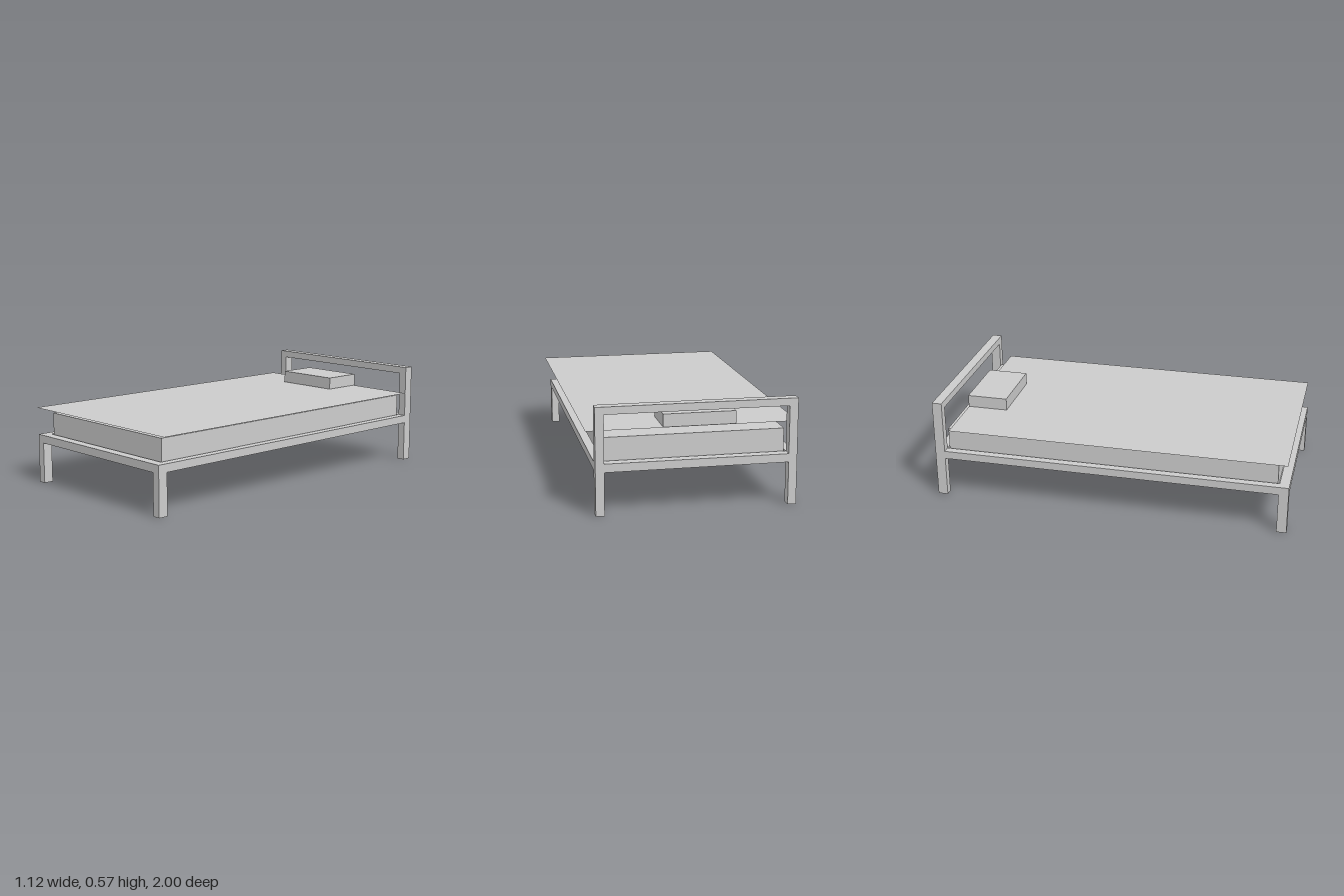
import * as THREE from 'three';

export function createModel() {
  const model = new THREE.Group();
  model.name = 'bed';
  const material = new THREE.MeshStandardMaterial({ color: 0xcccccc, flatShading: true });

  // Adds a box given its extents along each axis
  function addBox(name, [x0, x1], [y0, y1], [z0, z1]) {
    const mesh = new THREE.Mesh(new THREE.BoxGeometry(x1 - x0, y1 - y0, z1 - z0), material);
    mesh.position.set((x0 + x1) / 2, (y0 + y1) / 2, (z0 + z1) / 2);
    mesh.name = name;
    model.add(mesh);
  }

  // Frame bands: outer edge to inner edge on each side
  const sides = { right: [-0.53, -0.485], left: [0.48, 0.526] };
  const front = [0.945, 1], back = [-1, -0.945];
  const inner = [-0.485, 0.48], railY = [0.23, 0.275];

  // Legs, side rails and headboard posts
  for (const [side, x] of Object.entries(sides)) {
    addBox(side + 'FrontLeg', x, [0, 0.275], front);
    addBox(side + 'HeadboardPost', x, [0, 0.57], back);
    addBox(side + 'SideRail', x, railY, [-0.945, 0.945]);
  }

  // Cross rails and headboard top bar
  addBox('frontRail', inner, railY, front);
  addBox('backRail', inner, railY, back);
  addBox('headboardBar', inner, [0.53, 0.57], back);

  // Thin panel closing the underside of the frame
  addBox('basePanel', inner, [0.23, 0.234], [-0.945, 0.945]);

  // Mattress sitting inside the frame
  addBox('mattress', [-0.475, 0.472], [0.234, 0.396], [-0.935, 0.935]);

  // Flat sheet hovering just above the mattress
  const sheetMaterial = material.clone();
  sheetMaterial.side = THREE.DoubleSide;
  const sheet = new THREE.Mesh(new THREE.PlaneGeometry(1.12, 1.89).rotateX(-Math.PI / 2), sheetMaterial);
  sheet.position.set(0, 0.422, 0.045);
  sheet.name = 'sheet';
  model.add(sheet);

  // Pillow resting on the sheet, slightly off centre
  addBox('pillow', [-0.228, 0.158], [0.424, 0.493], [-0.9, -0.67]);

  return model;
}
